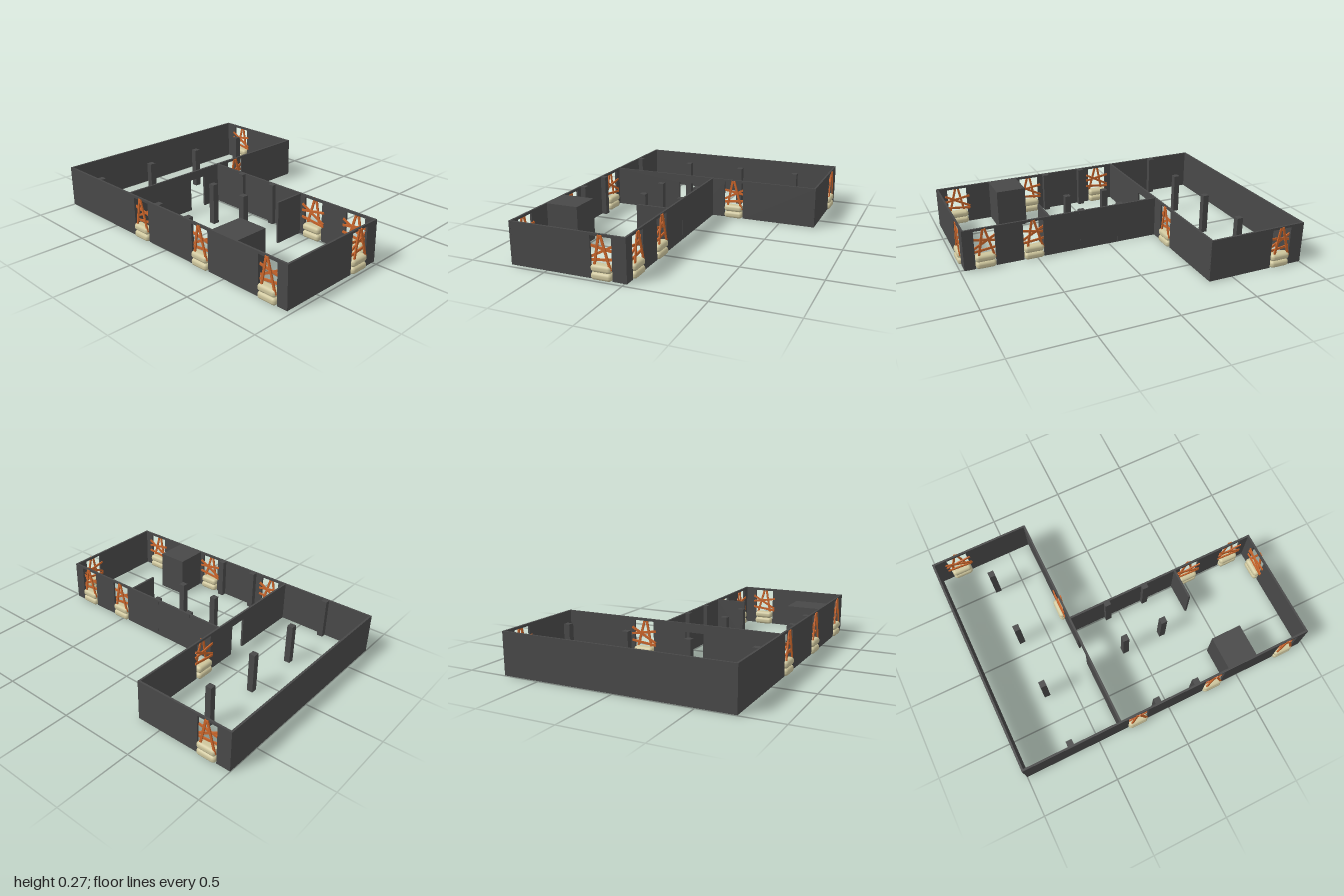
import * as THREE from 'three';
import { RoundedBoxGeometry } from 'three/addons/geometries/RoundedBoxGeometry.js';

const BASE = 0.006, TOP = 0.275, THICK = 0.013;
const DOOR_W = 0.135, DOOR_TOP = 0.26;

export function createModel() {
  const concrete = new THREE.MeshStandardMaterial({ name: 'dark grey concrete', color: 0x484848 });
  const wood = new THREE.MeshStandardMaterial({ name: 'orange wood', color: 0xc8642a });
  const sack = new THREE.MeshStandardMaterial({ name: 'tan sackcloth', color: 0xcdc59c });

  const model = new THREE.Group();
  model.name = 'ruinedFloorPlan';

  function add(parent, name, geometry, material, x, y, z) {
    const mesh = new THREE.Mesh(geometry, material);
    mesh.name = name;
    mesh.position.set(x, y, z);
    parent.add(mesh);
    return mesh;
  }

  // Wall from a to b along one axis, with door notches given as [centre, width, top]
  function wall(name, axis, fixed, a, b, doors = []) {
    const s = new THREE.Shape();
    s.moveTo(a, TOP);
    s.lineTo(a, BASE);
    for (const [c, w, top] of doors) {
      s.lineTo(c - w / 2, BASE);
      s.lineTo(c - w / 2, top);
      s.lineTo(c + w / 2, top);
      s.lineTo(c + w / 2, BASE);
    }
    s.lineTo(b, BASE);
    s.lineTo(b, TOP);
    s.closePath();
    const g = new THREE.ExtrudeGeometry(s, { depth: THICK, bevelEnabled: false });
    g.translate(0, 0, -THICK / 2);
    if (axis === 'z') g.rotateY(-Math.PI / 2); // local x becomes +z
    add(model, name, g, concrete, axis === 'z' ? fixed : 0, 0, axis === 'x' ? fixed : 0);
  }
  const door = c => [c, DOOR_W, DOOR_TOP];

  wall('frontWall', 'x', 0.731, -1, 0.974, [door(-0.225), door(0.31), door(0.835)]);
  wall('rightWing backWall', 'x', -0.735, -1, -0.339, [door(-0.84)]);
  wall('innerBackWall', 'x', -0.01, -0.339, 0.974, [door(0.52), door(0.835)]);
  wall('rightWall', 'z', -0.9935, -0.735, 0.731);
  wall('leftWall', 'z', 0.967, -0.01, 0.731, [door(0.14)]);
  wall('middleWall', 'z', -0.345, -0.735, 0.731, [door(-0.17), [0.18, 0.12, 0.22]]);
  wall('stubWall', 'z', 0.41, -0.01, 0.2);

  // Solid room block and pillars
  const H = TOP - BASE, midY = (TOP + BASE) / 2;
  add(model, 'block', new THREE.BoxGeometry(0.2, H, 0.222), concrete, 0.505, midY, 0.622);
  const pillarGeo = new THREE.BoxGeometry(0.04, H, 0.04);
  const pillars = [[-0.675, [-0.51, -0.1, 0.305, 0.71]],
    [-0.085, [0.003, 0.265, 0.71]], [0.185, [0.003, 0.265, 0.71]]];
  for (const [x, zs] of pillars)
    for (const z of zs) add(model, 'pillar', pillarGeo, concrete, x, midY, z);

  // Plank between two points in the plane of the doorway
  function plank(parent, name, x0, y0, x1, y1, z) {
    const g = new THREE.BoxGeometry(Math.hypot(x1 - x0, y1 - y0), 0.014, 0.008);
    const m = add(parent, name, g, wood, (x0 + x1) / 2, (y0 + y1) / 2, z);
    m.rotation.z = Math.atan2(y1 - y0, x1 - x0);
  }

  // Barricade: two sandbags, leaning planks outside and cross planks inside
  const bagGeo = new RoundedBoxGeometry(0.13, 0.047, 0.06, 4, 0.02);
  function barricade(x, z, turn) {
    const g = new THREE.Group();
    g.name = 'barricade';
    g.position.set(x, 0, z);
    g.rotation.y = turn;
    for (const y of [0.027, 0.073]) add(g, 'sandbag', bagGeo, sack, 0, y, -0.005);
    plank(g, 'leaningPlank', -0.046, 0.07, -0.009, 0.27, 0.008);
    plank(g, 'leaningPlank', 0.06, 0.07, 0.003, 0.27, 0.011);
    plank(g, 'crossPlank', -0.083, 0.125, 0.083, 0.215, -0.011);
    plank(g, 'crossPlank', -0.085, 0.2, 0.085, 0.172, -0.009);
    plank(g, 'crossPlank', -0.084, 0.11, 0.084, 0.13, -0.01);
    model.add(g);
  }
  for (const x of [-0.225, 0.31, 0.835]) barricade(x, 0.731, 0);
  for (const x of [0.52, 0.835]) barricade(x, -0.01, Math.PI);
  barricade(-0.84, -0.735, Math.PI);
  barricade(0.967, 0.14, Math.PI / 2);
  barricade(-0.345, -0.17, Math.PI / 2);

  return model;
}
